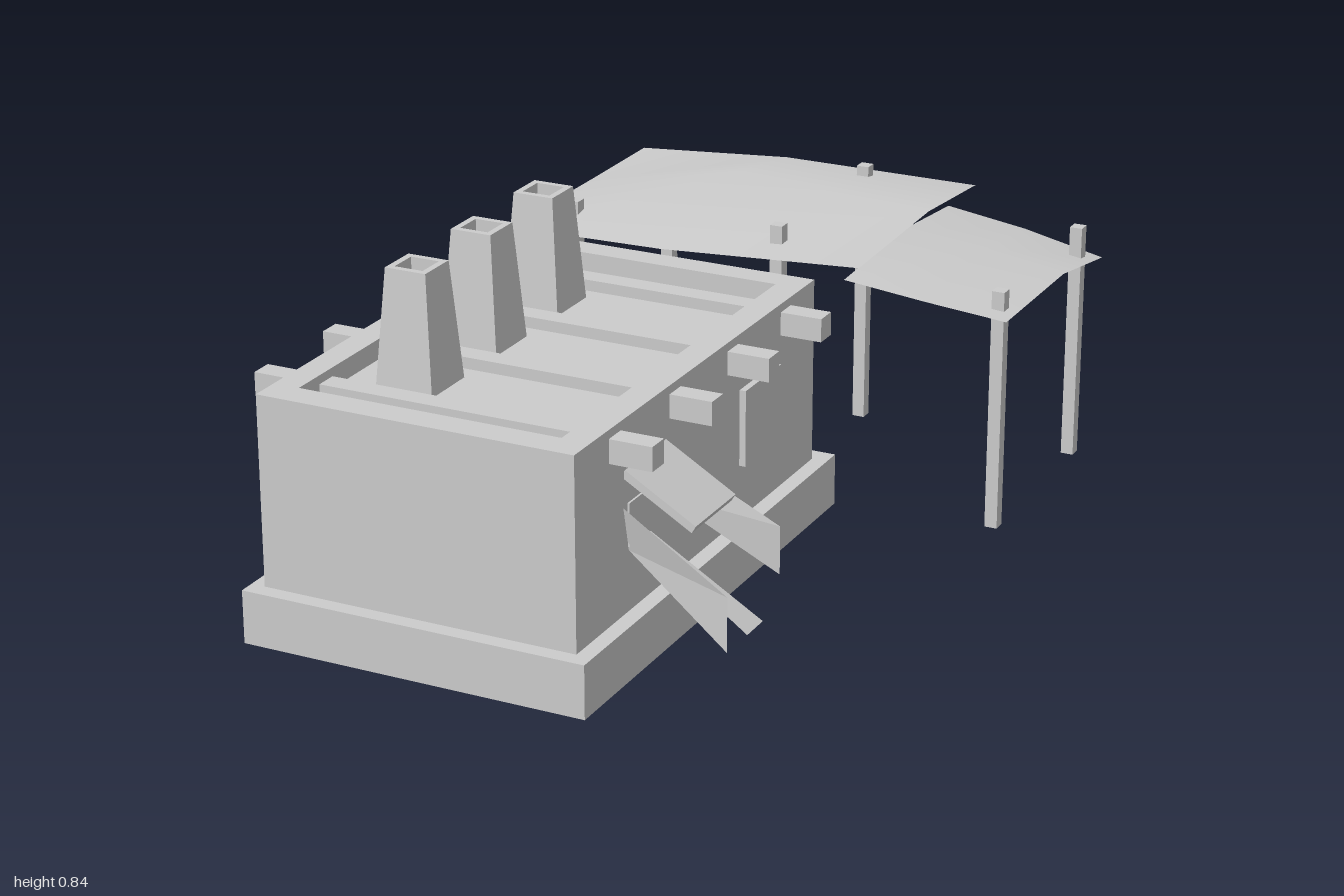
import * as THREE from 'three';

export function createModel() {
  const model = new THREE.Group();
  const clay = new THREE.MeshStandardMaterial({ color: 0xcccccc, side: THREE.DoubleSide });
  clay.name = 'plain grey';

  const add = (name, geometry) => {
    const mesh = new THREE.Mesh(geometry, clay);
    mesh.name = name;
    model.add(mesh);
    return mesh;
  };
  // Box given by its lower and upper limits on each axis
  const box = (name, x0, x1, y0, y1, z0, z1) => {
    const mesh = add(name, new THREE.BoxGeometry(x1 - x0, y1 - y0, z1 - z0));
    mesh.position.set((x0 + x1) / 2, (y0 + y1) / 2, (z0 + z1) / 2);
    return mesh;
  };
  // Sheet through rows of points
  const sheet = (name, rows, smooth = true) => {
    const n = rows[0].length;
    const index = [];
    for (let r = 0; r < rows.length - 1; r++) {
      for (let c = 0; c < n - 1; c++) {
        const a = r * n + c;
        index.push(a, a + n, a + 1, a + 1, a + n, a + n + 1);
      }
    }
    let g = new THREE.BufferGeometry();
    g.setAttribute('position', new THREE.Float32BufferAttribute(rows.flat(2), 3));
    g.setIndex(index);
    if (!smooth) g = g.toNonIndexed();
    g.computeVertexNormals();
    return add(name, g);
  };

  // Plinth skirt, open below, with a gap at the rear doorway
  const door = { left: -0.10, right: -0.375, spring: 0.35 };
  const t = 0.006, low = 0.007, ledge = 0.138;
  box('plinthFront', -0.62, 0.25, low, ledge, 1 - t, 1);
  box('plinthRight', -0.62, -0.62 + t, low, ledge, -0.32, 1);
  box('plinthLeft', 0.25 - t, 0.25, low, ledge, -0.32, 1);
  box('plinthBackLeft', door.left, 0.25, low, ledge, -0.32, -0.32 + t);
  box('plinthBackRight', -0.62, door.right, low, ledge, -0.32, -0.32 + t);

  // Ledge on top of the plinth
  box('ledgeFront', -0.62, 0.25, ledge - t, ledge, 0.88, 1);
  box('ledgeRight', -0.62, -0.52, ledge - t, ledge, -0.32, 0.88);
  box('ledgeLeft', 0.14, 0.25, ledge - t, ledge, -0.32, 0.88);
  box('ledgeBackLeft', door.left, 0.14, ledge - t, ledge, -0.32, -0.2);
  box('ledgeBackRight', -0.52, door.right, ledge - t, ledge, -0.32, -0.2);

  // House walls with a parapet
  const top = 0.604;
  box('frontWall', -0.585, 0.21, ledge, top, 0.885, 0.96);
  box('rightWall', -0.585, -0.52, ledge, top, -0.2, 0.885);
  box('leftWall', 0.14, 0.21, ledge, top, -0.2, 0.885);

  // Rear wall with an arched doorway
  const wall = new THREE.Shape();
  const middle = (door.left + door.right) / 2;
  wall.moveTo(-0.585, ledge);
  wall.lineTo(door.right, ledge);
  wall.lineTo(door.right, door.spring);
  wall.absarc(middle, door.spring, (door.left - door.right) / 2, Math.PI, 0, true);
  wall.lineTo(door.left, ledge);
  wall.lineTo(0.21, ledge);
  wall.lineTo(0.21, top);
  wall.lineTo(-0.585, top);
  wall.closePath();
  add('backWall', new THREE.ExtrudeGeometry(wall, { depth: 0.07, bevelEnabled: false, curveSegments: 6 }))
    .position.z = -0.27;

  // Passage walls behind the doorway
  for (const x of [door.left, door.right]) {
    box('passageWall', x - t / 2, x + t / 2, ledge, door.spring, -0.2, 0.26);
    box('passageFoot', x - t / 2, x + t / 2, low, ledge, -0.32, 0.26);
  }

  // Sunken roof and the beams that carry it
  box('roof', -0.52, 0.14, 0.54, 0.555, -0.2, 0.885);
  for (const z of [-0.107, 0.183, 0.48, 0.773]) {
    box('roofBeam', -0.692, 0.315, 0.525, 0.583, z - 0.028, z + 0.028);
  }

  // Tapered square chimneys with hollow tops
  const flue = [[0.073, 0.555], [0.052, 0.84], [0.036, 0.84], [0.036, 0.6]];
  const corners = [[-1, -1], [1, -1], [1, 1], [-1, 1], [-1, -1]];
  for (const z of [0.037, 0.335, 0.63]) {
    sheet('chimney', flue.map(([r, y]) => corners.map(([cx, cz]) => [-0.36 + cx * r, y, z + cz * r])), false);
  }

  // Window shutter on the left wall
  box('shutter', 0.21, 0.226, 0.275, 0.465, -0.05, 0.145);

  // Hooded chute on the left wall
  const hood = box('chuteHood', -0.1, 0.1, -0.01, 0.01, 0.53, 0.73);
  hood.position.set(0.293, 0.425, 0.63);
  hood.rotation.z = -0.53;
  box('chuteMouth', 0.205, 0.215, 0.295, 0.4, 0.555, 0.715);
  sheet('chuteSideFront', [
    [[0.21, 0.395, 0.735], [0.48, 0.25, 0.77]],
    [[0.21, 0.285, 0.71], [0.48, 0.117, 0.77]],
  ], false);
  sheet('chuteSideBack', [
    [[0.21, 0.46, 0.53], [0.48, 0.312, 0.5]],
    [[0.21, 0.36, 0.55], [0.48, 0.195, 0.5]],
  ], false);
  sheet('chuteFloor', [
    [[0.21, 0.295, 0.61], [0.21, 0.295, 0.65]],
    [[0.48, 0.117, 0.587], [0.48, 0.117, 0.668]],
  ], false);

  // Awning posts: x, height at the back, height at the front
  for (const [x, back, front] of [[-0.5, 0.61, 0.668], [0.062, 0.688, 0.688], [0.645, 0.61, 0.61]]) {
    box('awningPost', x - 0.016, x + 0.016, 0, back, -0.925, -0.893);
    box('awningPost', x - 0.016, x + 0.016, 0, front, -0.4, -0.368);
  }

  // Cloth awnings, from heights in rows running back to front
  const cloth = (name, xs, zs, heights) =>
    sheet(name, zs.map((z, r) => xs.map((x, c) => [x, heights[r][c], z])));
  cloth('largeAwning', [-0.62, -0.2, 0.33], [-1, -0.69, -0.26],
    [[0.612, 0.645, 0.645], [0.612, 0.695, 0.668], [0.615, 0.622, 0.655]]);
  cloth('smallAwning', [0.27, 0.48, 0.69], [-0.97, -0.69, -0.31],
    [[0.59, 0.56, 0.515], [0.615, 0.593, 0.56], [0.6, 0.578, 0.56]]);

  return model;
}
